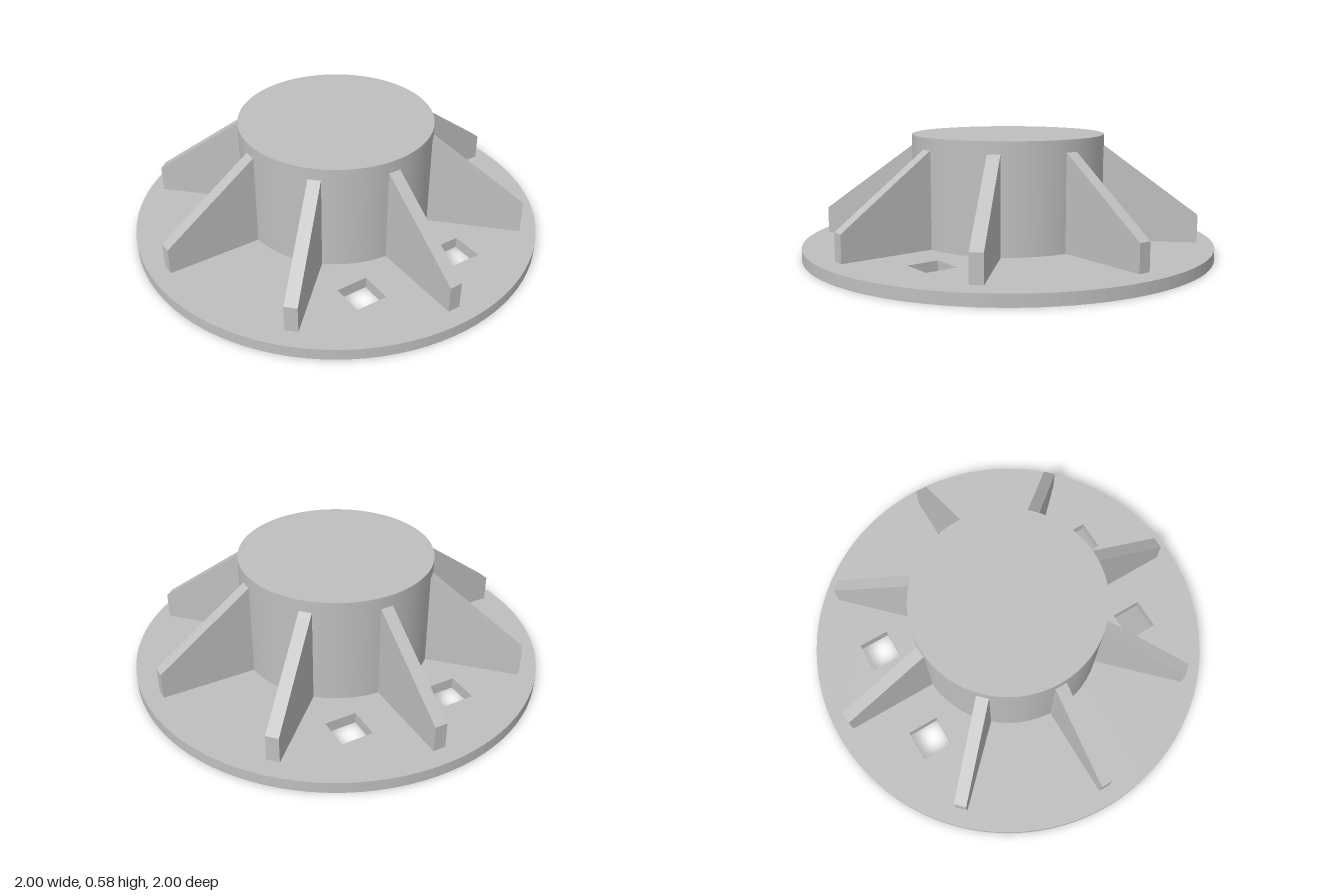
import * as THREE from 'three';

const grey = new THREE.MeshStandardMaterial({ color: 0xbfbfbf });
grey.name = 'grey';

const BASE_H = 0.055, GAP_Y = 0.064, HUB_R = 0.468, HUB_TOP = 0.58;

function roundHole(x, y, r) {
  return new THREE.Path().absarc(x, y, r, 0, Math.PI * 2, true);
}

function squareHole(x, y, h) {
  return new THREE.Path([[-h, -h], [-h, h], [h, h], [h, -h]]
    .map(([a, b]) => new THREE.Vector2(x + a, y + b)));
}

// Round plate with square windows, a centre bore and screw holes
function makeBase() {
  const disc = new THREE.Shape().absarc(0, 0, 1, 0, Math.PI * 2, false);
  disc.holes.push(roundHole(0, 0, 0.062));
  for (const sx of [-1, 1]) {
    for (const sy of [-1, 1]) {
      disc.holes.push(squareHole(sx * 0.268, sy * 0.613, 0.077));
      disc.holes.push(roundHole(sx * 0.27, sy * 0.347, 0.018));
    }
  }
  for (let i = 0; i < 3; i++) {
    const a = Math.PI + i * Math.PI * 2 / 3;
    disc.holes.push(roundHole(0.23 * Math.cos(a), 0.23 * Math.sin(a), 0.014));
  }
  const geo = new THREE.ExtrudeGeometry(disc, { depth: BASE_H, bevelEnabled: false, curveSegments: 48 });
  geo.rotateX(-Math.PI / 2);
  const base = new THREE.Mesh(geo, grey);
  base.name = 'basePlate';
  return base;
}

// Solid round hub just above the plate
function makeHub() {
  const geo = new THREE.CylinderGeometry(HUB_R, HUB_R, HUB_TOP - GAP_Y, 64);
  geo.translate(0, (HUB_TOP + GAP_Y) / 2, 0);
  const hub = new THREE.Mesh(geo, grey);
  hub.name = 'hub';
  return hub;
}

// Eight sloped ribs around the hub
function makeRibs() {
  const ribs = new THREE.Group();
  ribs.name = 'ribs';
  const profile = new THREE.Shape([[0.46, GAP_Y], [0.92, GAP_Y], [0.92, 0.193], [0.468, 0.523], [0.46, 0.523]]
    .map(p => new THREE.Vector2(...p)));
  const geo = new THREE.ExtrudeGeometry(profile, { depth: 0.06, bevelEnabled: false });
  geo.translate(0, 0, -0.03);
  for (let i = 0; i < 8; i++) {
    const rib = new THREE.Mesh(geo, grey);
    rib.name = 'rib' + (i + 1);
    rib.rotation.y = i * Math.PI / 4;
    ribs.add(rib);
  }
  return ribs;
}

export function createModel() {
  const model = new THREE.Group();
  model.name = 'ribbedFlange';
  model.add(makeBase(), makeHub(), makeRibs());
  return model;
}
